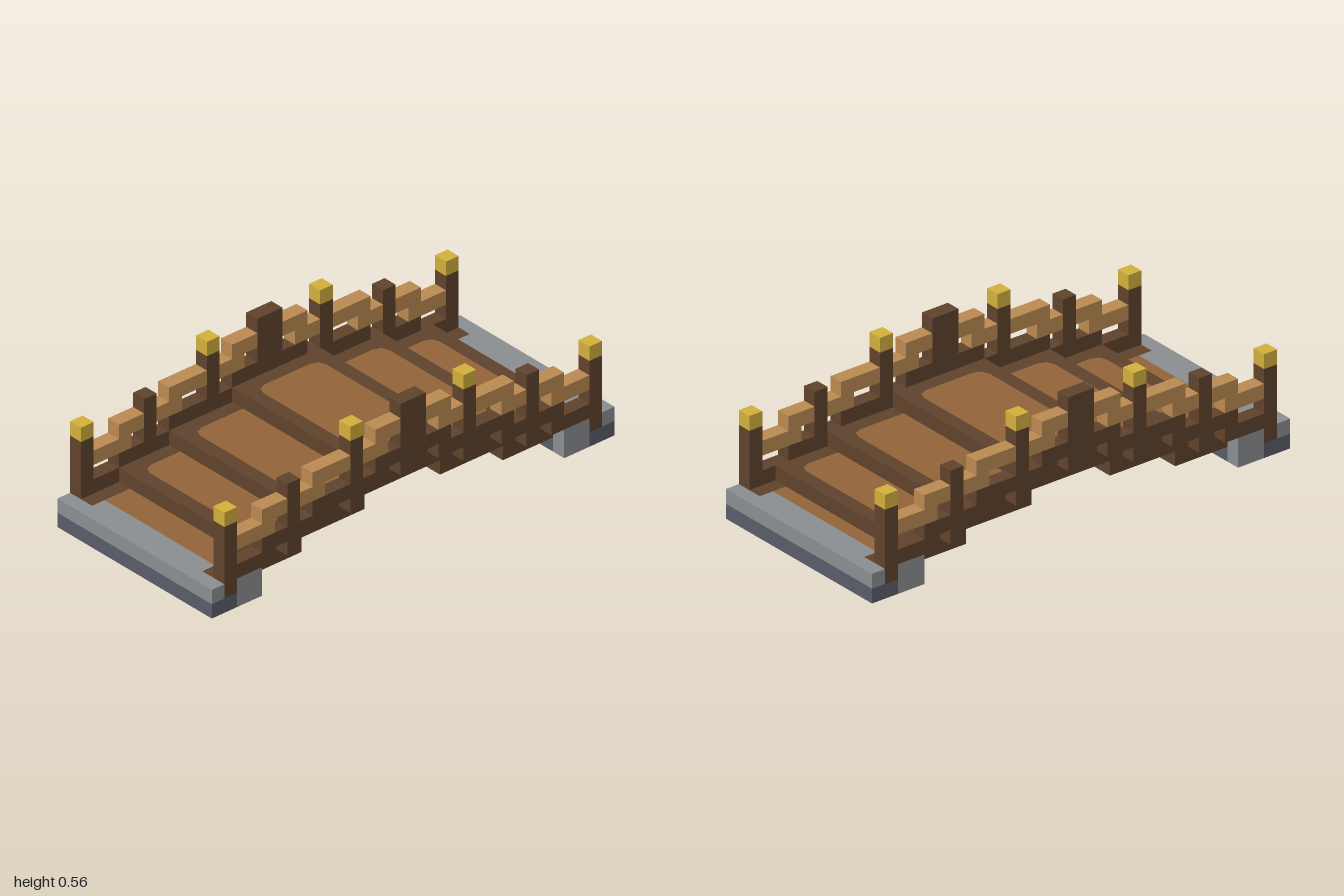
import * as THREE from 'three';

const U = 1 / 16; // grid unit of the blocky construction

function material(name, color) {
  const m = new THREE.MeshStandardMaterial({ color });
  m.name = name;
  return m;
}

export function createModel() {
  const mats = {
    dark: material('darkWood', 0x5f432c),
    panel: material('plankWood', 0x92643b),
    rail: material('railWood', 0xbb8a51),
    gold: material('gold', 0xd3af3c),
    stone: material('lightStone', 0x8b8e91),
    slate: material('darkStone', 0x595d69),
  };
  const bridge = new THREE.Group();
  bridge.name = 'archedFootbridge';

  // Box given by its extents in grid units
  function box(parent, name, mat, x0, x1, y0, y1, z0, z1) {
    const geo = new THREE.BoxGeometry((x1 - x0) * U, (y1 - y0) * U, Math.abs(z1 - z0) * U);
    const mesh = new THREE.Mesh(geo, mats[mat]);
    mesh.position.set((x0 + x1) / 2 * U, (y0 + y1) / 2 * U, (z0 + z1) / 2 * U);
    mesh.name = name;
    parent.add(mesh);
  }

  // Flat slab one unit thick from an outline of [x, z] points
  function slab(parent, name, mat, y, points) {
    const shape = new THREE.Shape(points.map(([x, z]) => new THREE.Vector2(x * U, -z * U)));
    const geo = new THREE.ExtrudeGeometry(shape, { depth: U, bevelEnabled: false });
    geo.rotateX(-Math.PI / 2);
    const mesh = new THREE.Mesh(geo, mats[mat]);
    mesh.position.y = y * U;
    mesh.name = name;
    parent.add(mesh);
  }

  // Plank: a dark U-shaped border, open towards the middle, around a lighter panel
  function plank(parent, y, inner, outer) {
    const s = Math.sign(outer);
    const edge = outer - s;
    const panel = [
      [-5, inner], [-5, edge - s * 0.7], [-4.8, edge - s * 0.2], [-4.3, edge],
      [4.3, edge], [4.8, edge - s * 0.2], [5, edge - s * 0.7], [5, inner],
    ];
    slab(parent, 'plankPanel', 'panel', y, panel);
    slab(parent, 'plankBorder', 'dark', y,
      [...panel, [6, inner], [6, outer], [-6, outer], [-6, inner]]);
  }

  // Rectangular support frame: two stringers and two cross beams
  function frame(parent, y, z0, z1) {
    box(parent, 'stringer', 'dark', 5, 6, y, y + 1, z0, z1);
    box(parent, 'stringer', 'dark', -6, -5, y, y + 1, z0, z1);
    box(parent, 'crossBeam', 'dark', -5, 5, y, y + 1, z0, z0 + 1);
    box(parent, 'crossBeam', 'dark', -5, 5, y, y + 1, z1 - 1, z1);
  }

  // Stepped deck: the middle plank is made of two halves
  const deck = new THREE.Group();
  deck.name = 'deck';
  bridge.add(deck);
  for (const [y, inner, outer] of [[4, 0, 3], [4, 0, -4], [3, 3, 8], [3, -3, -9], [2, 8, 12], [2, -8, -13]])
    plank(deck, y, inner, outer);
  for (const [y, z0, z1] of [[3, -3, 3], [2, 3, 8], [2, -8, -3], [1, 8, 12], [1, -12, -8]])
    frame(deck, y, z0, z1);

  // Stone footing and landing, front and back
  for (const s of [1, -1]) {
    const footing = new THREE.Group();
    footing.name = s > 0 ? 'frontFooting' : 'backFooting';
    bridge.add(footing);
    box(footing, 'baseInner', 'slate', -6, 6, 0, 1, s * 12, s * 14);
    box(footing, 'baseOuter', 'slate', -7, 7, 0, 1, s * 14, s * 16);
    box(footing, 'topSlab', 'stone', -7, 7, 1, 2, s * 15, s * 16);
    box(footing, 'topSlabInner', 'stone', -5, 5, 1, 2, s * 14, s * 15);
    box(footing, 'landing', 'panel', -5, 5, 1, 2, s * 12, s * 14);
    for (const m of [1, -1]) {
      const inner = m > 0 ? [5, 6] : [-6, -5];
      const outer = m > 0 ? [6, 7] : [-7, -6];
      box(footing, 'landingEdge', 'dark', ...inner, 1, 2, s * 12, s * 15);
      box(footing, 'cornerStone', 'stone', ...outer, 0, 2, s * 12, s * 14);
    }
  }

  // Railings: each row is [name, colour, y0, y1, z0, z1], mirrored front to back
  const parts = [
    ['endPost', 'dark', 1, 6, 14, 15], ['endPostCap', 'gold', 6, 7, 14, 15],
    ['lowPost', 'dark', 2, 7, 9, 10],
    ['tallPost', 'dark', 3, 8, 4, 5], ['tallPostCap', 'gold', 8, 9, 4, 5],
    // stepped lower beam
    ['beam', 'dark', 2, 3, 11, 14], ['beam', 'dark', 3, 4, 10, 12],
    ['beam', 'dark', 3, 4, 7, 9], ['beam', 'dark', 4, 5, 5, 8],
    ['beam', 'dark', 4, 5, 2, 4], ['beam', 'dark', 5, 6, 1, 3],
    // stepped handrail
    ['handrail', 'rail', 4, 5, 11, 14], ['handrail', 'rail', 5, 6, 10, 12],
    ['handrail', 'rail', 5, 6, 7, 9], ['handrail', 'rail', 6, 7, 5, 8],
    ['handrail', 'rail', 6, 7, 2, 4], ['handrail', 'rail', 7, 8, 1, 3],
  ];
  for (const m of [1, -1]) {
    const railing = new THREE.Group();
    railing.name = m > 0 ? 'leftRailing' : 'rightRailing';
    bridge.add(railing);
    const xs = m > 0 ? [6, 7] : [-7, -6];
    box(railing, 'centrePost', 'dark', ...xs, 4, 9, -1, 1);
    for (const s of [1, -1])
      for (const [name, mat, y0, y1, z0, z1] of parts)
        box(railing, name, mat, ...xs, y0, y1, s * z0, s * z1);
  }
  return bridge;
}
